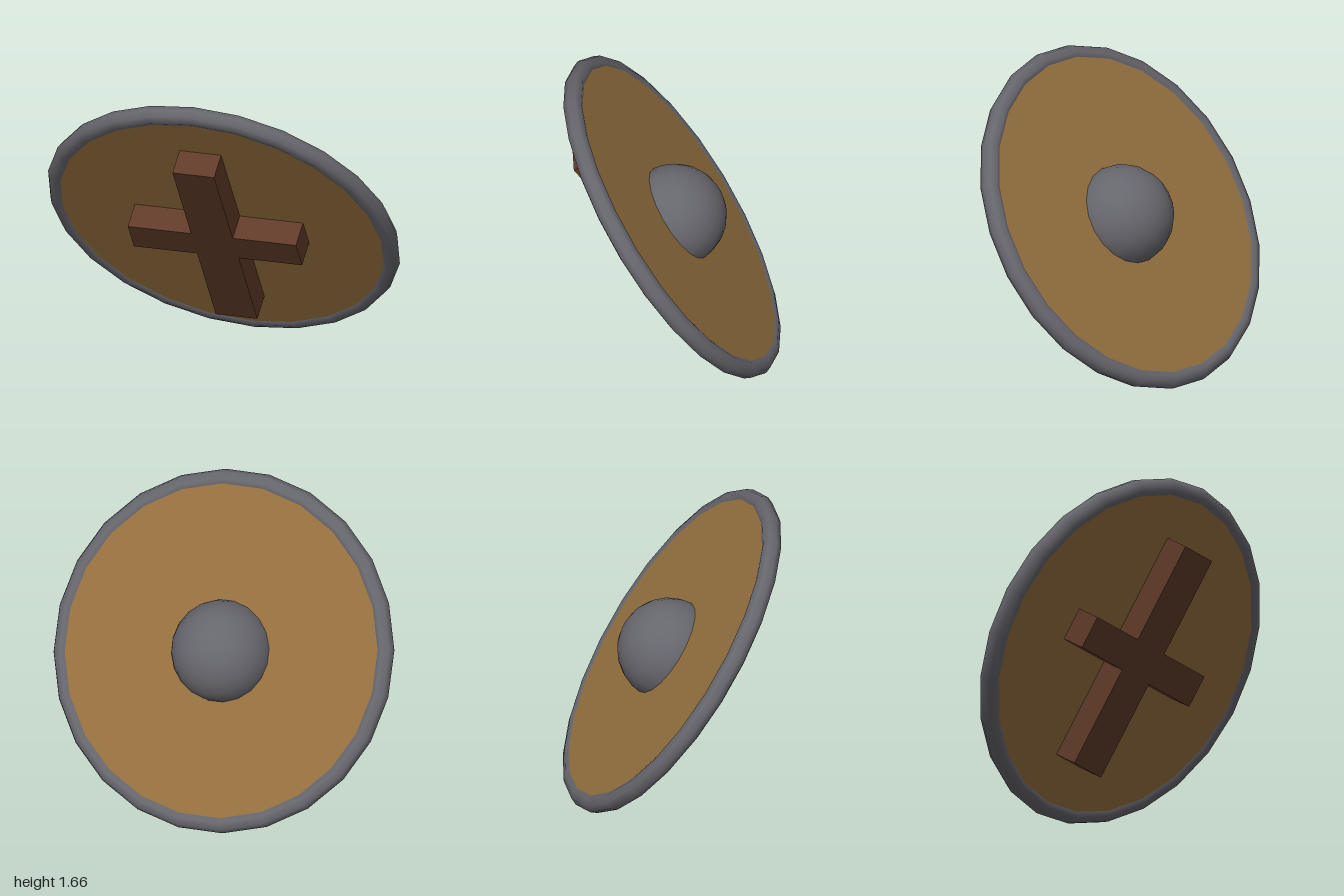
import * as THREE from 'three';

export function createModel() {
  const mat = (name, color) => {
    const m = new THREE.MeshStandardMaterial({ color });
    m.name = name;
    return m;
  };
  const wood = mat('tan wood', 0x95703f);
  const darkWood = mat('dark wood', 0x603b29);
  const iron = mat('grey iron', 0x66666d);

  const model = new THREE.Group();
  model.name = 'roundShield';

  // Everything is built upright facing +z, then tilted forward as one piece
  const shield = new THREE.Group();
  shield.name = 'tiltedShield';
  shield.position.y = 0.83;
  shield.rotation.x = THREE.MathUtils.degToRad(35);
  model.add(shield);

  const add = (name, geometry, material, x = 0, y = 0, z = 0) => {
    const mesh = new THREE.Mesh(geometry, material);
    mesh.name = name;
    mesh.position.set(x, y, z);
    shield.add(mesh);
    return mesh;
  };

  const SIDES = 24, RADIUS = 0.945, HALF = 0.044;

  // Wooden board and iron rim
  add('board', new THREE.CylinderGeometry(RADIUS, RADIUS, HALF * 2, SIDES).rotateX(Math.PI / 2), wood);
  add('rim', new THREE.TorusGeometry(RADIUS, 0.055, 8, SIDES), iron);

  // Domed boss on the back face
  const dome = new THREE.SphereGeometry(0.285, 20, 6, 0, Math.PI * 2, 0, Math.PI / 2);
  add('boss', dome.rotateX(-Math.PI / 2), iron, 0, 0, -0.02);

  // Crossed grip bars, sunk slightly into the front face
  const front = 0.196, back = 0.03;
  const depth = front - back, mid = (front + back) / 2;
  add('uprightBar', new THREE.BoxGeometry(0.24, 1.335, depth), darkWood, 0, 0, mid);
  for (const side of [-1, 1]) {
    add(side > 0 ? 'leftCrossBar' : 'rightCrossBar',
      new THREE.BoxGeometry(0.365, 0.187, depth), darkWood, side * 0.3025, 0, mid);
  }

  return model;
}
